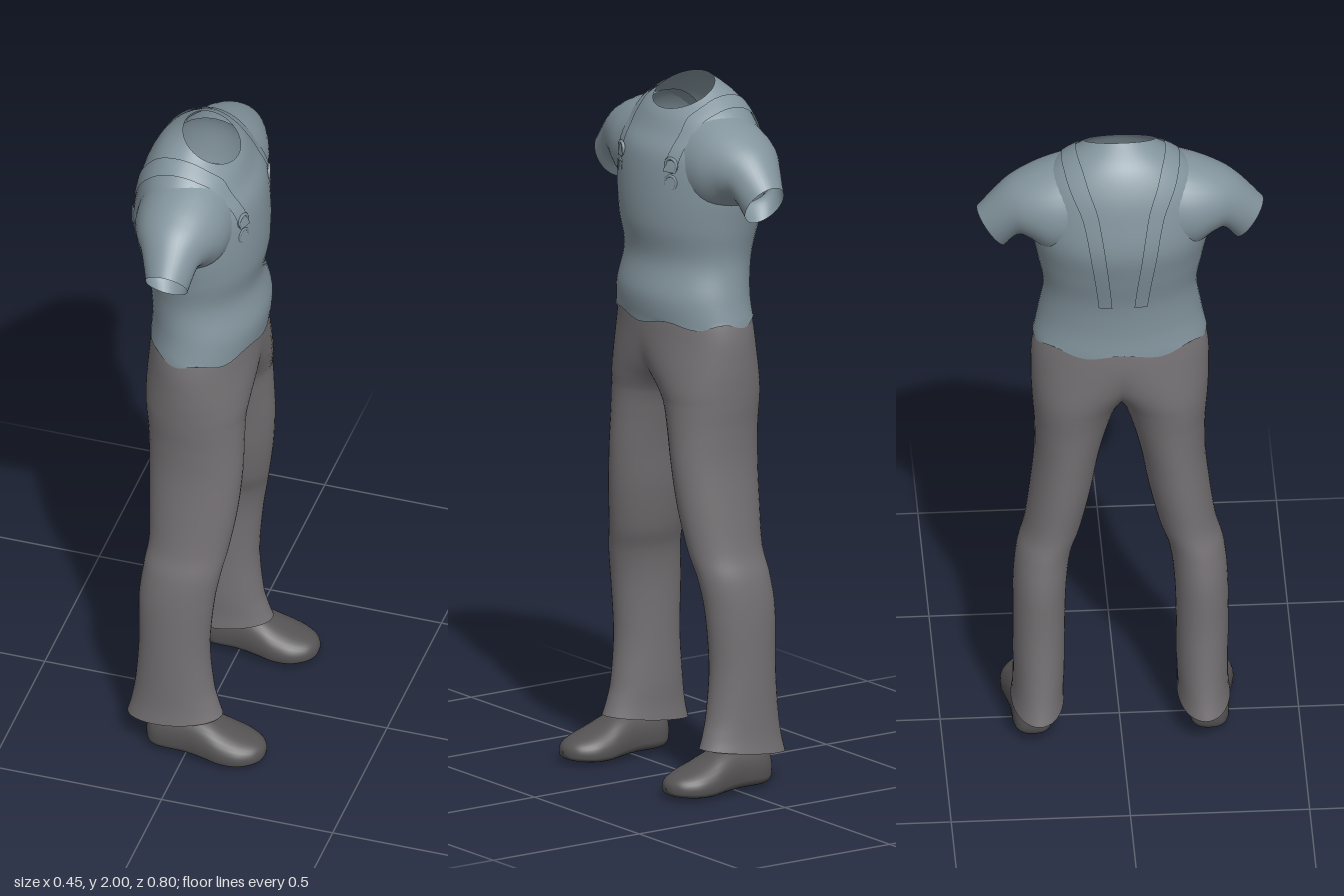
import * as THREE from 'three';

const rad = THREE.MathUtils.degToRad;

// Smooth interpolation through rows of numbers; t runs from 0 to rows.length - 1
function sample(rows, t) {
  const n = rows.length - 1;
  const i = Math.min(Math.floor(t), n - 1), f = t - i;
  const b = rows[i], c = rows[i + 1];
  const a = rows[i - 1] || b, d = rows[i + 2] || c;
  return b.map((_, k) => {
    const m0 = (c[k] - a[k]) / 2, m1 = (d[k] - b[k]) / 2, f2 = f * f, f3 = f2 * f;
    return (2 * f3 - 3 * f2 + 1) * b[k] + (f3 - 2 * f2 + f) * m0
      + (3 * f2 - 2 * f3) * c[k] + (f3 - f2) * m1;
  });
}

// Grid surface from fn(u, v) -> [x, y, z]; seam normals are matched where the ring closes
function surface(nu, nv, fn) {
  const pos = [], index = [];
  for (let i = 0; i <= nu; i++)
    for (let j = 0; j <= nv; j++) pos.push(...fn(i / nu, j / nv));
  for (let i = 0; i < nu; i++)
    for (let j = 0; j < nv; j++) {
      const a = i * (nv + 1) + j, c = a + nv + 1;
      index.push(a, a + 1, c, a + 1, c + 1, c);
    }
  const g = new THREE.BufferGeometry();
  g.setAttribute('position', new THREE.Float32BufferAttribute(pos, 3));
  g.setIndex(index);
  g.computeVertexNormals();
  const P = g.attributes.position, N = g.attributes.normal;
  const p = new THREE.Vector3(), q = new THREE.Vector3();
  for (let i = 0; i <= nu; i++) {
    const a = i * (nv + 1), b = a + nv;
    p.fromBufferAttribute(P, a);
    q.fromBufferAttribute(P, b);
    if (p.distanceTo(q) < 1e-4) {
      p.fromBufferAttribute(N, a).add(q.fromBufferAttribute(N, b)).normalize();
      N.setXYZ(a, p.x, p.y, p.z);
      N.setXYZ(b, p.x, p.y, p.z);
    } else if (Math.abs(p.z) < 1e-4 && Math.abs(q.z) < 1e-4) {
      // Open rings meet their mirror image on the middle plane
      for (const k of [a, b]) {
        p.fromBufferAttribute(N, k).setZ(0).normalize();
        N.setXYZ(k, p.x, p.y, p.z);
      }
    }
  }
  return g;
}

// Torso rings: y, centre x, half depth, half width, tilt (back higher)
const torsoRows = [
  [1.325, -0.015, 0.158, 0.243, 0],
  [1.40, -0.01, 0.16, 0.228, 0],
  [1.50, -0.025, 0.155, 0.215, 0],
  [1.60, -0.03, 0.175, 0.232, 0],
  [1.70, -0.04, 0.185, 0.25, 0],
  [1.80, -0.04, 0.172, 0.25, 0],
  [1.87, -0.045, 0.145, 0.22, 0.01],
  [1.925, -0.035, 0.115, 0.165, 0.025],
  [1.96, -0.012, 0.078, 0.10, 0.04],
];
function torsoPoint(t, a, lift = 0) {
  const [y, cx, d, w, tilt] = sample(torsoRows, t);
  const hem = t === 0 ? 0.008 * Math.sin(a * 7) : 0;
  const p = new THREE.Vector3(cx + d * Math.sin(a), y - tilt * Math.sin(a) + hem, w * Math.cos(a));
  const out = p.clone().sub(new THREE.Vector3(cx, y - 0.08, 0)).normalize();
  return p.addScaledVector(out, lift).toArray();
}

// Sleeve rings: top z, top y, bottom z, bottom y, centre x, half depth
const sleeveRows = [
  [0.12, 1.93, 0.12, 1.62, -0.04, 0.14],
  [0.20, 1.905, 0.20, 1.64, -0.04, 0.132],
  [0.27, 1.875, 0.255, 1.68, -0.04, 0.108],
  [0.33, 1.835, 0.285, 1.685, -0.037, 0.083],
  [0.40, 1.755, 0.32, 1.64, -0.03, 0.06],
];
function sleevePoint(u, v) {
  const [tz, ty, bz, by, cx, d] = sample(sleeveRows, u * (sleeveRows.length - 1));
  const a = v * Math.PI * 2, s = (1 + Math.sin(a)) / 2;
  return [cx + d * Math.cos(a), by + (ty - by) * s, bz + (tz - bz) * s];
}

// Trouser rings: y, centre x, half depth, centre z, half width, tilt
const legRows = [
  [0.105, -0.045, 0.138, 0.232, 0.074, -0.018],
  [0.15, -0.045, 0.125, 0.23, 0.071, -0.01],
  [0.22, -0.047, 0.112, 0.228, 0.072, 0],
  [0.35, -0.048, 0.102, 0.228, 0.073, 0],
  [0.50, -0.043, 0.108, 0.225, 0.075, 0],
  [0.60, -0.03, 0.111, 0.213, 0.077, 0],
  [0.68, -0.018, 0.115, 0.188, 0.08, 0],
  [0.80, -0.012, 0.127, 0.165, 0.086, 0],
  [0.92, -0.01, 0.134, 0.148, 0.091, 0],
  [1.02, -0.013, 0.137, 0.135, 0.104, 0],
  [1.09, -0.017, 0.141, 0.124, 0.12, 0],
  [1.14, -0.018, 0.147, 0.105, 0.142, 0],
  [1.20, -0.018, 0.152, 0.065, 0.184, 0],
  [1.28, -0.018, 0.155, 0.01, 0.237, 0],
  [1.34, -0.016, 0.152, 0, 0.236, 0],
  [1.38, -0.015, 0.145, 0, 0.222, 0],
];
function legPoint(u, v) {
  const [y, cx, d, cz, w, tilt] = sample(legRows, u * (legRows.length - 1));
  // The ring stops at the middle plane where the two halves join
  const reach = cz >= w ? Math.PI : Math.acos(-cz / w);
  const a = (2 * v - 1) * reach;
  return [cx + d * Math.sin(a), y - tilt * Math.sin(a), cz + w * Math.cos(a)];
}

// Shoe sections from heel to toe: x, half width, bottom y, top y
const shoeRows = [
  [-0.12, 0.001, 0.06, 0.065],
  [-0.112, 0.035, 0.02, 0.105],
  [-0.08, 0.054, 0.006, 0.125],
  [0, 0.06, 0.006, 0.13],
  [0.06, 0.071, 0.003, 0.12],
  [0.11, 0.079, 0, 0.098],
  [0.16, 0.075, 0.003, 0.08],
  [0.20, 0.053, 0.01, 0.066],
  [0.219, 0.026, 0.018, 0.052],
  [0.225, 0.001, 0.033, 0.037],
];
function shoePoint(u, v) {
  const [x, w, lo, hi] = sample(shoeRows, u * (shoeRows.length - 1));
  const a = v * Math.PI * 2, c = Math.cos(a), s = Math.sin(a);
  const mid = lo + (hi - lo) * 0.4;
  const y = s > 0 ? mid + (hi - mid) * s : mid - (mid - lo) * Math.pow(-s, 0.55);
  return [x, y, 0.246 - w * Math.sign(c) * Math.pow(Math.abs(c), 0.85)];
}

// Strap path on the torso: ring, angle, half width in ring, half width in angle
const strapRows = [
  [4.6, 63, 0, 5], [6, 55, 0.1, 5], [7, 38, 0.22, 6], [7.35, 0, 0.28, 0],
  [6.9, -38, 0.22, -6], [5.8, -62, 0.1, -6], [4.5, -72, 0, -5], [2, -77, 0, -5],
];
function strapPoint(u, v) {
  const [t, a, dt, da] = sample(strapRows, u * (strapRows.length - 1));
  const k = 2 * v - 1;
  return torsoPoint(t + dt * k, rad(a + da * k), 0.005);
}

export function createModel() {
  const group = new THREE.Group();
  const material = (name, color) => {
    const m = new THREE.MeshStandardMaterial({ color, side: THREE.DoubleSide });
    m.name = name;
    return m;
  };
  const shirtBlue = material('shirt grey blue', 0x83949d);
  const trouserGrey = material('trouser grey', 0x757174);
  const shoeGrey = material('shoe dark grey', 0x555354);

  const add = (parent, name, geometry, mat) => {
    const mesh = new THREE.Mesh(geometry, mat);
    mesh.name = name;
    parent.add(mesh);
    return mesh;
  };

  // Shirt body, open at the neck and hem
  add(group, 'shirtBody', surface(48, 56, (u, v) =>
    torsoPoint(u * (torsoRows.length - 1), v * Math.PI * 2)), shirtBlue);

  const parts = [
    ['sleeve', surface(24, 36, sleevePoint), shirtBlue],
    ['strap', surface(48, 4, strapPoint), shirtBlue],
    ['trouserLeg', surface(90, 40, legPoint), trouserGrey],
    ['shoe', surface(45, 32, shoePoint), shoeGrey],
  ];
  const ring = new THREE.TorusGeometry(0.019, 0.005, 6, 16).rotateY(Math.PI / 2);

  // Each side: sleeve, strap with two buckle rings, trouser leg and shoe
  for (const side of [1, -1]) {
    const half = new THREE.Group();
    half.name = side > 0 ? 'frontFacingHalf' : 'backFacingHalf';
    half.scale.z = side;
    for (const [name, geometry, mat] of parts) add(half, name, geometry, mat);
    for (const y of [1.785, 1.735]) {
      const buckle = add(half, 'buckleRing', ring, shirtBlue);
      buckle.position.set(0.117, y, 0.118);
      buckle.rotation.y = -0.33;
    }
    group.add(half);
  }
  return group;
}
